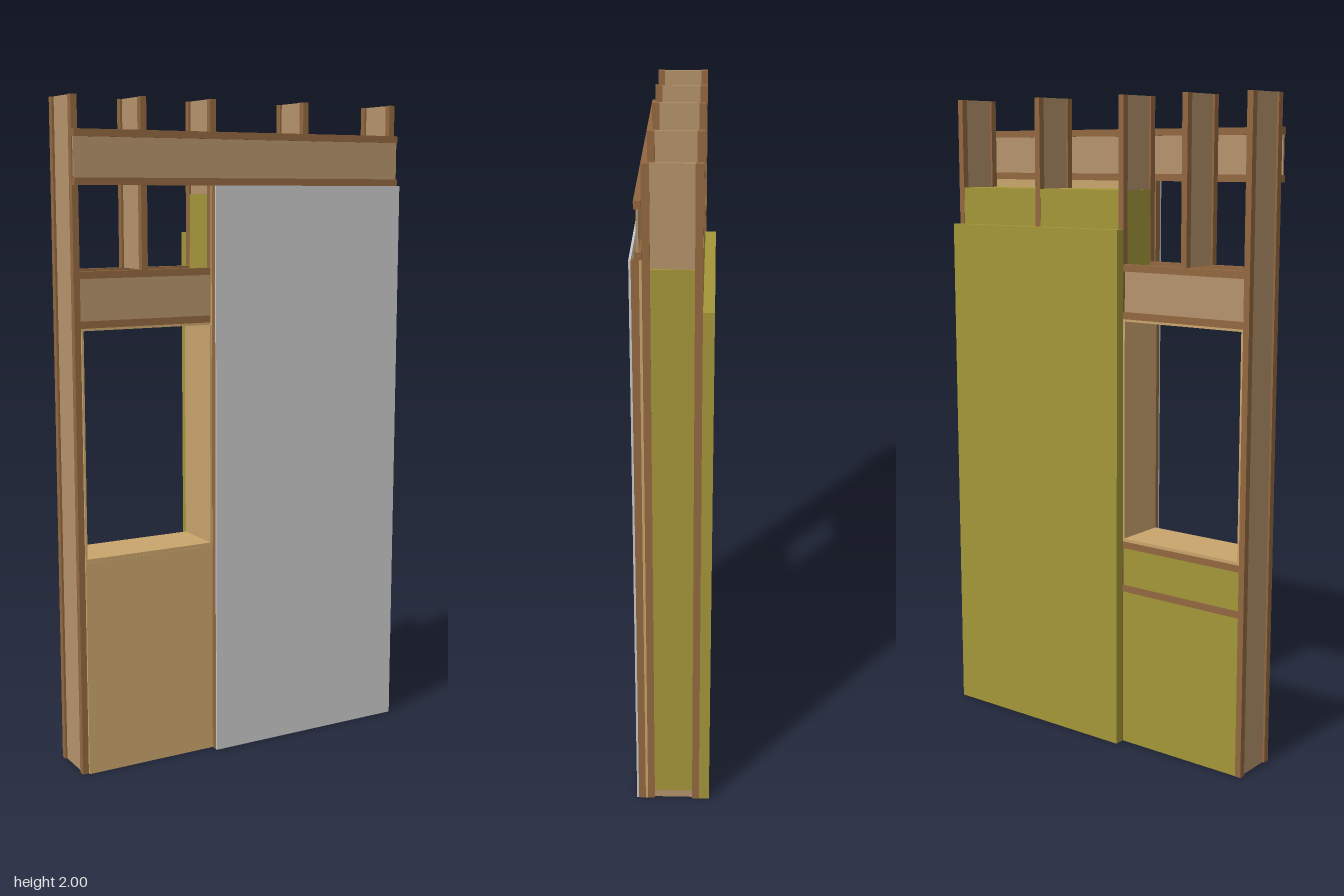
import * as THREE from 'three';

const mat = (name, color) => {
  const m = new THREE.MeshStandardMaterial({ color });
  m.name = name;
  return m;
};

export function createModel() {
  const root = new THREE.Group();
  root.name = 'timberWallSection';

  const flangeWood = mat('flange wood', 0x926840);
  const webWood = mat('web board', 0xb5936c);
  const sheathing = mat('sheathing board', 0xc9a56c);
  const insulation = mat('insulation', 0xa39639);
  const plaster = mat('plasterboard', 0xc9c9c9);

  // Box given by its two extreme corners
  const box = (name, material, x0, x1, y0, y1, z0, z1, parent = root) => {
    const mesh = new THREE.Mesh(new THREE.BoxGeometry(x1 - x0, y1 - y0, z1 - z0), material);
    mesh.position.set((x0 + x1) / 2, (y0 + y1) / 2, (z0 + z1) / 2);
    mesh.name = name;
    parent.add(mesh);
  };

  const BACK = -0.08, FRONT = 0.077, F = 0.021, H = 0.0095;

  // Upright I-section stud: two flanges and a thin web
  const stud = (x, y0) => {
    const g = new THREE.Group();
    g.name = 'stud';
    box('backFlange', flangeWood, x - H, x + H, y0, 2, BACK, BACK + F, g);
    box('frontFlange', flangeWood, x - H, x + H, y0, 2, FRONT - F, FRONT, g);
    box('web', webWood, x - 0.003, x + 0.003, y0, 2, BACK + F, FRONT - F, g);
    root.add(g);
  };

  // Level I-section beam
  const beam = (name, x0, x1, y0, y1, z0, z1) => {
    const g = new THREE.Group(), zm = (z0 + z1) / 2;
    g.name = name;
    box('lowerFlange', flangeWood, x0, x1, y0, y0 + 0.021, z0, z1, g);
    box('upperFlange', flangeWood, x0, x1, y1 - 0.021, y1, z0, z1, g);
    box('web', webWood, x0, x1, y0 + 0.021, y1 - 0.021, zm - 0.003, zm + 0.003, g);
    root.add(g);
  };

  // Studs; the second one stands on the window header
  const xs = [-0.545, -0.33, -0.103, 0.22, 0.542];
  xs.forEach((x, i) => stud(x, i === 1 ? 1.508 : 0));

  // Beams: rim across the top, window headers, sill on the back
  const wx0 = xs[0] + H, wx1 = xs[2] - H;
  beam('rimBeam', -0.5545, 0.5515, 1.75, 1.905, 0.078, 0.097);
  beam('frontHeader', wx0, wx1, 1.345, 1.508, FRONT - F, FRONT);
  beam('backHeader', wx0, wx1, 1.345, 1.508, BACK, BACK + F);
  beam('sillBeam', wx0, wx1, 0.495, 0.656, BACK, BACK + F);

  // Window lining
  box('liningLeft', sheathing, wx0, wx0 + 0.006, 0.666, 1.338, BACK, 0.083);
  box('liningRight', sheathing, wx1 - 0.006, wx1, 0.666, 1.338, BACK, 0.083);
  box('liningTop', sheathing, wx0, wx1, 1.338, 1.345, BACK, FRONT);
  box('windowSill', sheathing, wx0, wx1, 0.656, 0.666, BACK, 0.083);

  // Insulation below the window, and in the edge stud's recess
  box('windowBayInsulation', insulation, wx0, wx1, 0, 0.495, BACK + 0.002, FRONT);
  box('windowBayInsulation', insulation, wx0, wx1, 0.495, 0.656, BACK + 0.004, FRONT);
  box('recessInsulation', insulation, xs[0] + 0.003, wx0, 0, 1.508, BACK + F, FRONT - F);

  // Insulation between and inside the right-hand studs
  const solid = xs.slice(2);
  solid.forEach((x, i) => {
    box('studInsulation', insulation, x - H + 0.001, x + H - 0.001, 0.03, 1.725, BACK + F, FRONT - F);
    // Service battens in front of each stud
    box('batten', flangeWood, x - H, x + H, 0, 1.75, 0.084, 0.105);
    if (i < 2) {
      const a = x + H, b = solid[i + 1] - H;
      box('bayInsulation', insulation, a, b, 0.03, 1.725, BACK + 0.001, FRONT);
      box('serviceInsulation', insulation, a, b, 0.03, 1.725, 0.084, 0.105);
    }
  });

  // Boards: sheathing, plasterboard and the outer insulation slab
  box('lowerSheathing', sheathing, wx0, wx1, 0, 0.656, FRONT, 0.084);
  box('innerSheathing', sheathing, wx1, 0.5515, 0, 1.75, FRONT, 0.084);
  box('plasterboard', plaster, wx1, 0.5515, 0, 1.75, 0.105, 0.111);
  box('outerInsulation', insulation, wx1, 0.5515, 0, 1.61, -0.111, BACK);

  return root;
}
